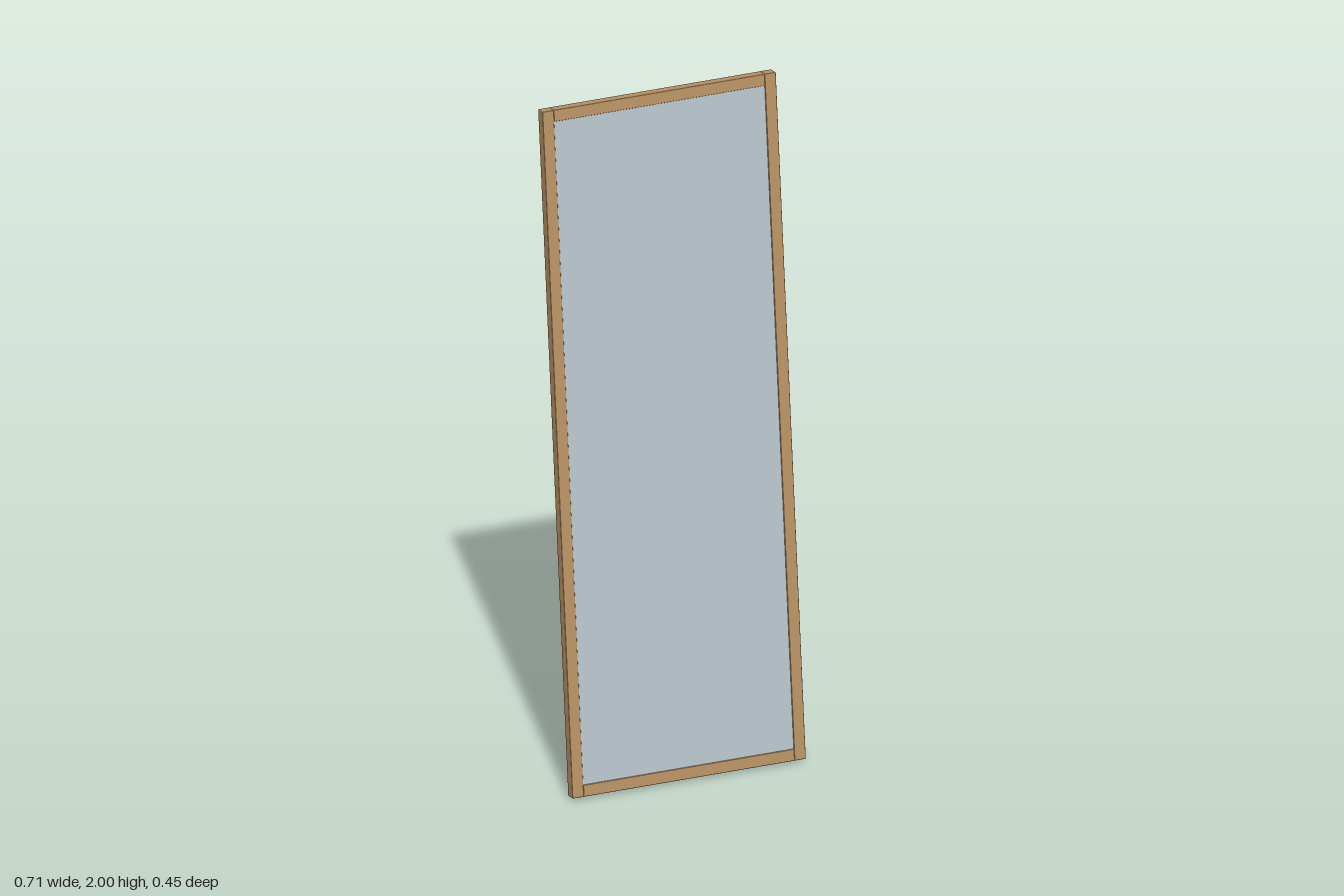
import * as THREE from 'three';
import { RoundedBoxGeometry } from 'three/addons/geometries/RoundedBoxGeometry.js';

const WIDTH = 0.706, HEIGHT = 2.002, DEPTH = 0.032, BAR = 0.034;
const RECESS = 0.004;

export function createModel() {
  const model = new THREE.Group();
  model.name = 'standingMirror';
  const wood = new THREE.MeshStandardMaterial({ name: 'wood', color: 0xb89264 });
  const glass = new THREE.MeshStandardMaterial({ name: 'mirrorGlass', color: 0xb8c5cc });

  // Frame leaning back by six degrees
  const frame = new THREE.Group();
  frame.name = 'leaningFrame';
  frame.position.set(0, 1.0026, 0.1046);
  frame.rotation.x = -THREE.MathUtils.degToRad(6);
  model.add(frame);

  const add = (parent, name, geometry, material, x = 0, y = 0, z = 0) => {
    const mesh = new THREE.Mesh(geometry, material);
    mesh.name = name;
    mesh.position.set(x, y, z);
    parent.add(mesh);
    return mesh;
  };

  // Full-height stiles with rails between them
  const innerW = WIDTH - 2 * BAR, innerH = HEIGHT - 2 * BAR;
  const stile = new RoundedBoxGeometry(BAR, HEIGHT, DEPTH, 2, 0.002);
  const rail = new RoundedBoxGeometry(innerW, BAR, DEPTH, 2, 0.002);
  for (const s of [-1, 1]) {
    add(frame, s > 0 ? 'leftStile' : 'rightStile', stile, wood, s * (WIDTH - BAR) / 2);
    add(frame, s > 0 ? 'topRail' : 'bottomRail', rail, wood, 0, s * (HEIGHT - BAR) / 2);
  }

  // Slightly recessed back board and glass
  const glassT = 0.006, boardT = DEPTH - 2 * RECESS - glassT;
  add(frame, 'mirrorGlass', new THREE.BoxGeometry(innerW, innerH, glassT), glass,
    0, 0, DEPTH / 2 - RECESS - glassT / 2);
  add(frame, 'backBoard', new THREE.BoxGeometry(innerW, innerH, boardT), wood,
    0, 0, -DEPTH / 2 + RECESS + boardT / 2);

  // Round prop leg from the back board to the floor
  const foot = new THREE.Vector3(0, 0.0024, -0.2137);
  const head = new THREE.Vector3(0, 1.468, 0.0435);
  const leg = add(model, 'propLeg',
    new THREE.CylinderGeometry(0.0135, 0.0135, foot.distanceTo(head), 24), wood);
  leg.position.copy(foot).add(head).multiplyScalar(0.5);
  leg.quaternion.setFromUnitVectors(new THREE.Vector3(0, 1, 0), head.clone().sub(foot).normalize());

  return model;
}
